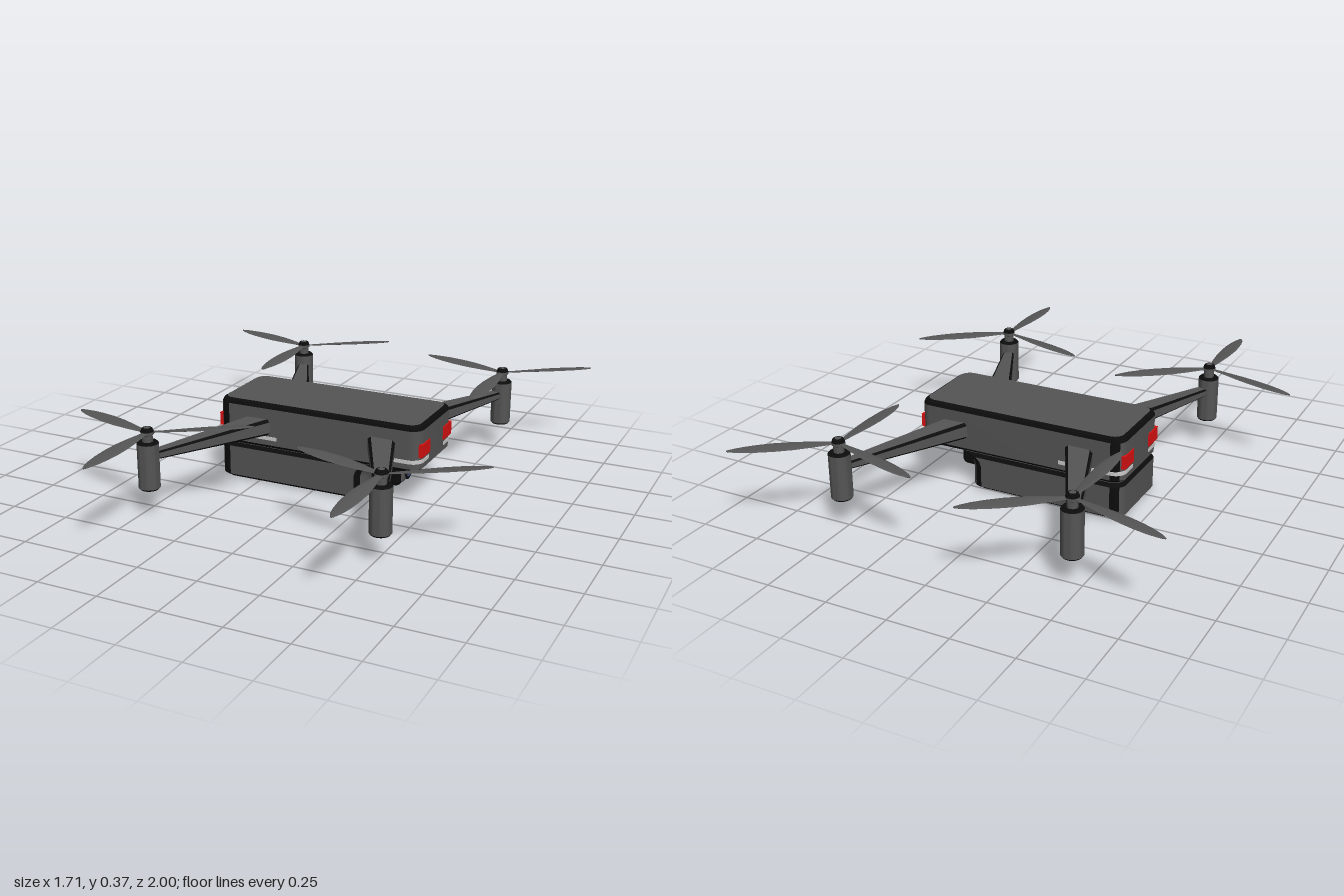
import * as THREE from 'three';
import { toCreasedNormals } from 'three/addons/utils/BufferGeometryUtils.js';
import { RoundedBoxGeometry } from 'three/addons/geometries/RoundedBoxGeometry.js';

const mat = (color) => new THREE.MeshStandardMaterial({ color });
const GREY = mat(0x555555), BLACK = mat(0x0c0c0c), RED = mat(0xdd1111);
const PALE = mat(0xcccccc), GLASS = mat(0x3a4a78);
const V = (x, y, z) => new THREE.Vector3(x, y, z);

function add(parent, name, geometry, material, x = 0, y = 0, z = 0) {
  const mesh = new THREE.Mesh(geometry, material);
  mesh.name = name;
  mesh.position.set(x, y, z);
  parent.add(mesh);
  return mesh;
}

// Skin through closed rings of points, capped at both ends; faces chosen by isDark get the black trim
function loft(parent, name, rings, isDark = () => false) {
  const n = rings[0].length, pts = rings.flat(), faces = { grey: [], dark: [] };
  rings.forEach((ring, i) => ring.forEach((_, j) => {
    if (i === rings.length - 1) return;
    const k = (j + 1) % n, a = i * n + j, b = i * n + k;
    faces[isDark(i, j) ? 'dark' : 'grey'].push(a, a + n, b + n, a, b + n, b);
  }));
  [0, rings.length - 1].forEach((i) => {
    const centre = rings[i].reduce((s, p) => s.add(p), V(0, 0, 0)).divideScalar(n);
    const c = pts.push(centre) - 1;
    for (let j = 0; j < n; j++) {
      const a = i * n + j, b = i * n + (j + 1) % n;
      faces.grey.push(c, ...(i === 0 ? [a, b] : [b, a]));
    }
  });
  const group = new THREE.Group();
  group.name = name;
  for (const [key, material] of [['grey', GREY], ['dark', BLACK]]) {
    if (!faces[key].length) continue;
    const geo = new THREE.BufferGeometry().setFromPoints(pts);
    geo.setIndex(faces[key]);
    add(group, key === 'grey' ? name + 'Surface' : name + 'Trim', toCreasedNormals(geo, 0.5), material);
  }
  parent.add(group);
  return group;
}

// Rounded rectangle in the ground plane, running from +x towards +z
const STEPS = 6;
function outline(y, x0, x1, hz, r) {
  const pts = [];
  for (let c = 0; c < 4; c++) {
    const cx = c === 0 || c === 3 ? x1 - r : x0 + r, cz = c < 2 ? hz - r : r - hz;
    for (let s = 0; s <= STEPS; s++) {
      const a = (c + s / STEPS) * Math.PI / 2;
      pts.push(V(cx + r * Math.cos(a), y, cz + r * Math.sin(a)));
    }
  }
  return pts;
}

const X0 = -0.43, X1 = 0.47, HZ = 0.18, R = 0.05;

function buildBody(g) {
  const w = STEPS + 1;
  // Black strips on the vertical corners next to the long sides
  const rearStrip = (j) => (j >= w && j < w + 3) || (j >= 3 * w - 4 && j < 3 * w - 1);
  const frontStrip = (j) => (j >= w - 3 && j < w - 1) || (j >= 3 * w && j < 3 * w + 2);
  const ring = (y, inset, x1) => outline(y, X0 + inset, x1 - inset, HZ - inset, R - inset / 2);

  loft(g, 'upperShell', [
    ring(0.153, 0.02, X1), ring(0.172, 0, X1), ring(0.33, 0, X1),
    ring(0.342, 0.005, X1), ring(0.35, 0.018, X1),
  ], (i, j) => i === 0 || i >= 2 || rearStrip(j));

  // The front of the pod flares out to meet the overhanging shell
  loft(g, 'lowerPod', [
    ring(0, 0.02, 0.24), ring(0.015, 0, 0.24), ring(0.105, 0, 0.24),
    ring(0.125, 0, 0.247), ring(0.142, 0, 0.265), ring(0.157, 0.012, 0.315),
  ], (i, j) => i === 0 || i === 4 || rearStrip(j) || frontStrip(j));

  for (const sz of [-1, 1]) {
    for (const [end, s, len] of [[X1, 1, 0.13], [X0, -1, 0.27]]) {
      add(g, 'lamp', new THREE.BoxGeometry(0.04, 0.055, 0.085), RED, end - s * 0.015, 0.248, sz * 0.118);
      // Pale stripe wrapping one corner of the shell
      const e = 0.003, x = end + s * e, z = sz * (HZ + e), shape = new THREE.Shape();
      shape.moveTo(end - s * len, sz * 0.08);
      shape.lineTo(x, sz * 0.08);
      shape.lineTo(x, z - sz * R);
      for (let k = 1; k <= STEPS; k++) {
        const a = k / STEPS * Math.PI / 2;
        shape.lineTo(x - s * R * (1 - Math.cos(a)), z - sz * R * (1 - Math.sin(a)));
      }
      shape.lineTo(end - s * len, z);
      const geo = new THREE.ExtrudeGeometry(shape, { depth: 0.015, bevelEnabled: false });
      add(g, 'cornerStripe', geo.rotateX(Math.PI / 2), PALE, 0, 0.21, 0);
    }
  }
}

function buildCamera(g) {
  const cam = new THREE.Group();
  cam.name = 'camera';
  g.add(cam);
  add(cam, 'cameraMount', new THREE.BoxGeometry(0.06, 0.05, 0.06), BLACK, 0.24, 0.085, 0);
  add(cam, 'cameraHousing', new RoundedBoxGeometry(0.1, 0.09, 0.15, 3, 0.025), BLACK, 0.295, 0.085, 0);
  add(cam, 'cameraFace', new RoundedBoxGeometry(0.1, 0.066, 0.11, 3, 0.015), GREY, 0.302, 0.085, 0);
  const disc = (r, len) => new THREE.CylinderGeometry(r, r, len, 32).rotateZ(-Math.PI / 2);
  add(cam, 'lensBarrel', disc(0.029, 0.02), BLACK, 0.346, 0.085, 0);
  add(cam, 'lens', disc(0.019, 0.02), GLASS, 0.3475, 0.085, 0);
}

// Tapered arm with black chamfered edges
function buildArm(g, start, end) {
  const dir = end.clone().sub(start).normalize(), u = dir.clone().cross(V(0, 1, 0));
  const section = (c, w, h, k) => [
    [w, -h + k], [w, h - k], [w - k, h], [k - w, h],
    [-w, h - k], [-w, k - h], [k - w, -h], [w - k, -h],
  ].map(([a, b]) => c.clone().addScaledVector(u, a).add(V(0, b, 0)));
  loft(g, 'arm', [section(start, 0.057, 0.036, 0.012), section(end, 0.022, 0.015, 0.006)], (i, j) => j % 2 === 1);
}

// Blade along +z: thin elliptical sections with a little pitch
function buildBlade(g, angle) {
  const profile = [[0.005, 0.01], [0.04, 0.013], [0.1, 0.022], [0.17, 0.03], [0.24, 0.0325],
    [0.3, 0.03], [0.35, 0.024], [0.385, 0.016], [0.405, 0.008], [0.413, 0.002]];
  const rings = profile.map(([z, w]) => {
    const pitch = 0.16 - 0.3 * z, pts = [];
    for (let k = 0; k < 10; k++) {
      const a = k / 10 * Math.PI * 2, px = w * Math.cos(a), py = 0.0025 * Math.sin(a);
      pts.push(V(-px * Math.cos(pitch) + py * Math.sin(pitch),
        px * Math.sin(pitch) + py * Math.cos(pitch) - 0.02 * z * z, z));
    }
    return pts;
  });
  const blade = loft(g, 'blade', rings);
  blade.position.y = 0.347;
  blade.rotation.y = angle;
}

function buildRotor(g, x, z) {
  const rotor = new THREE.Group();
  rotor.name = 'rotor';
  rotor.position.set(x, 0, z);
  g.add(rotor);
  const turned = (name, points, material) => add(rotor, name, toCreasedNormals(
    new THREE.LatheGeometry(points.map(([r, y]) => new THREE.Vector2(r, y)), 28), 0.5), material);
  turned('motorBase', [[0, 0.115], [0.037, 0.115], [0.043, 0.122]], BLACK);
  turned('motorCase', [[0.043, 0.122], [0.043, 0.304]], GREY);
  turned('motorRim', [[0.043, 0.304], [0.037, 0.311], [0, 0.311]], BLACK);
  turned('shaft', [[0.021, 0.305], [0.021, 0.338], [0.026, 0.341], [0.026, 0.352]], GREY);
  turned('hubCap', [[0.026, 0.352], [0.021, 0.364], [0.017, 0.367], [0, 0.367]], BLACK);
  turned('hubDisc', [[0.014, 0.366], [0.012, 0.368], [0, 0.368]], GREY);
  for (const [dx, dz] of [[0, 1], [0.805, -0.594], [-0.957, -0.29]]) buildBlade(rotor, Math.atan2(dx, dz));
}

export function createModel() {
  const model = new THREE.Group();
  model.name = 'quadcopter';
  const g = new THREE.Group();
  g.name = 'airframe';
  g.position.z = -0.085;
  model.add(g);
  buildBody(g);
  buildCamera(g);
  for (const sx of [-1, 1]) {
    for (const sz of [-1, 1]) {
      const x = 0.03 + sx * 0.49, z = sz * 0.67;
      buildArm(g, V(0.03 + sx * 0.258, 0.25, sz * 0.13), V(x, 0.25, z));
      buildRotor(g, x, z);
    }
  }
  return model;
}
